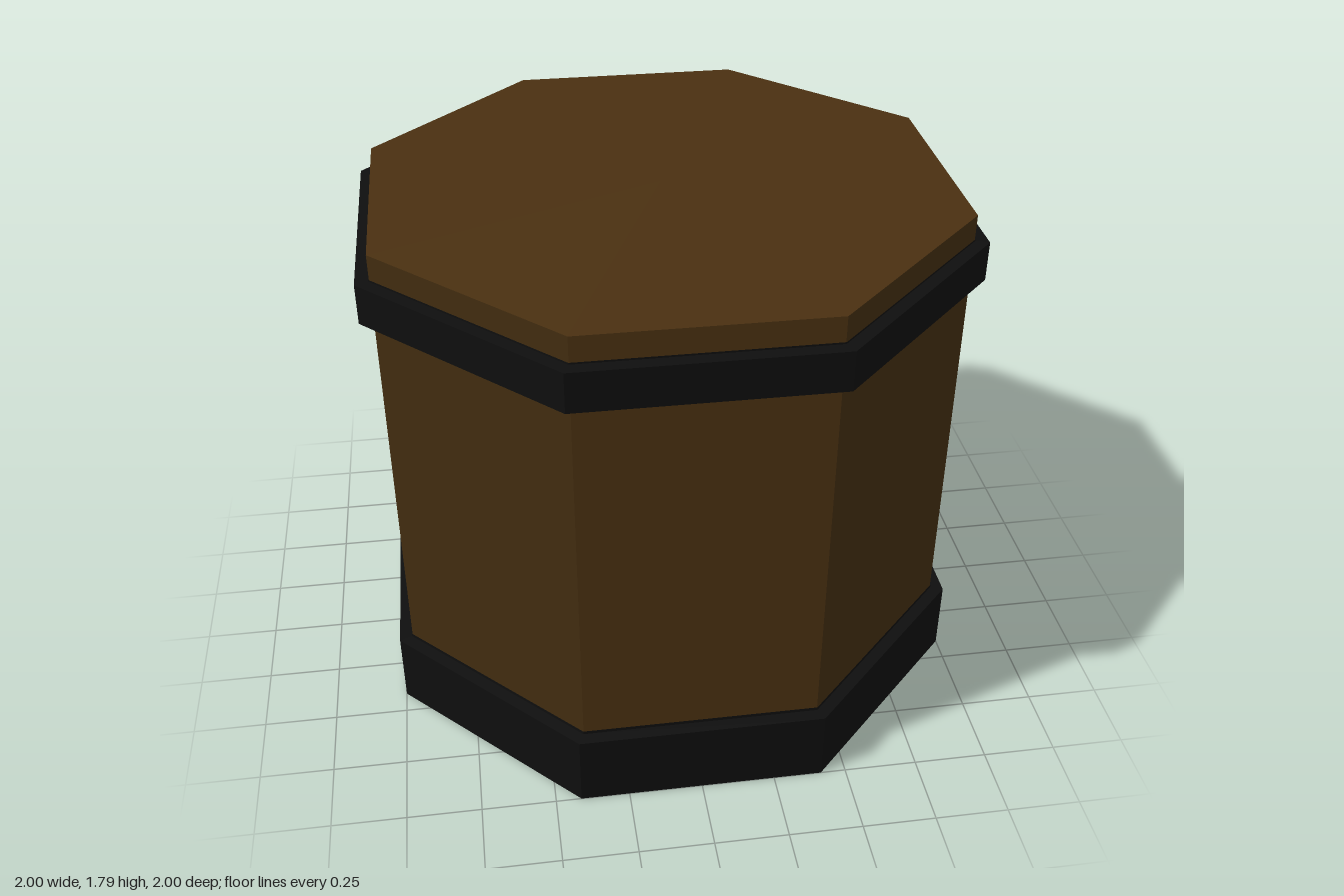
import * as THREE from 'three';

const SIDES = 8;
const STEP = (Math.PI * 2) / SIDES;
const START = -STEP / 2; // flat sides face the axes
const corner = (apothem) => apothem / Math.cos(STEP / 2);

const BODY = 0.955, BAND = 1.0, HEIGHT = 1.795;

export function createModel() {
  const mat = (name, color) =>
    Object.assign(new THREE.MeshStandardMaterial({ color, flatShading: true }), { name });
  const wood = mat('brown wood', 0x4a3011);
  const darkWood = mat('olive brown wood', 0x422d10);
  const iron = mat('black iron', 0x0e0e0e);

  const model = new THREE.Group();
  model.name = 'barrel';
  const add = (name, geometry, material) => {
    const mesh = new THREE.Mesh(geometry, material);
    mesh.name = name;
    model.add(mesh);
    return mesh;
  };

  // Octagonal ring from an upward profile of [apothem, y] pairs
  const ring = (name, profile, material) => {
    const points = profile.map(([a, y]) => new THREE.Vector2(corner(a), y));
    return add(name, new THREE.LatheGeometry(points, SIDES, START), material);
  };

  // Eight wall panels, the diagonal ones slightly duller
  const r = corner(BODY);
  for (let i = 0; i < SIDES; i++) {
    const panel = new THREE.CylinderGeometry(r, r, HEIGHT, 1, 1, true, START + i * STEP, STEP);
    add('wallPanel', panel, i % 2 ? darkWood : wood).position.y = HEIGHT / 2;
  }

  // Flat lid
  const lid = new THREE.CircleGeometry(r, SIDES, START);
  lid.rotateX(-Math.PI / 2);
  add('lid', lid, wood).position.y = HEIGHT;

  // Solid base band and the open upper band
  ring('baseBand', [[0, 0], [BAND, 0], [BAND, 0.26], [BODY, 0.26]], iron);
  ring('upperBand', [[BODY, 1.57], [BAND, 1.57], [BAND, 1.705], [BODY, 1.705]], iron);

  // Thin dark edging painted on the wall beside the bands
  const paint = BODY + 0.002;
  ring('baseEdging', [[paint, 0.26], [paint, 0.272]], iron);
  ring('upperEdging', [[paint, 1.563], [paint, 1.711]], iron);

  return model;
}
